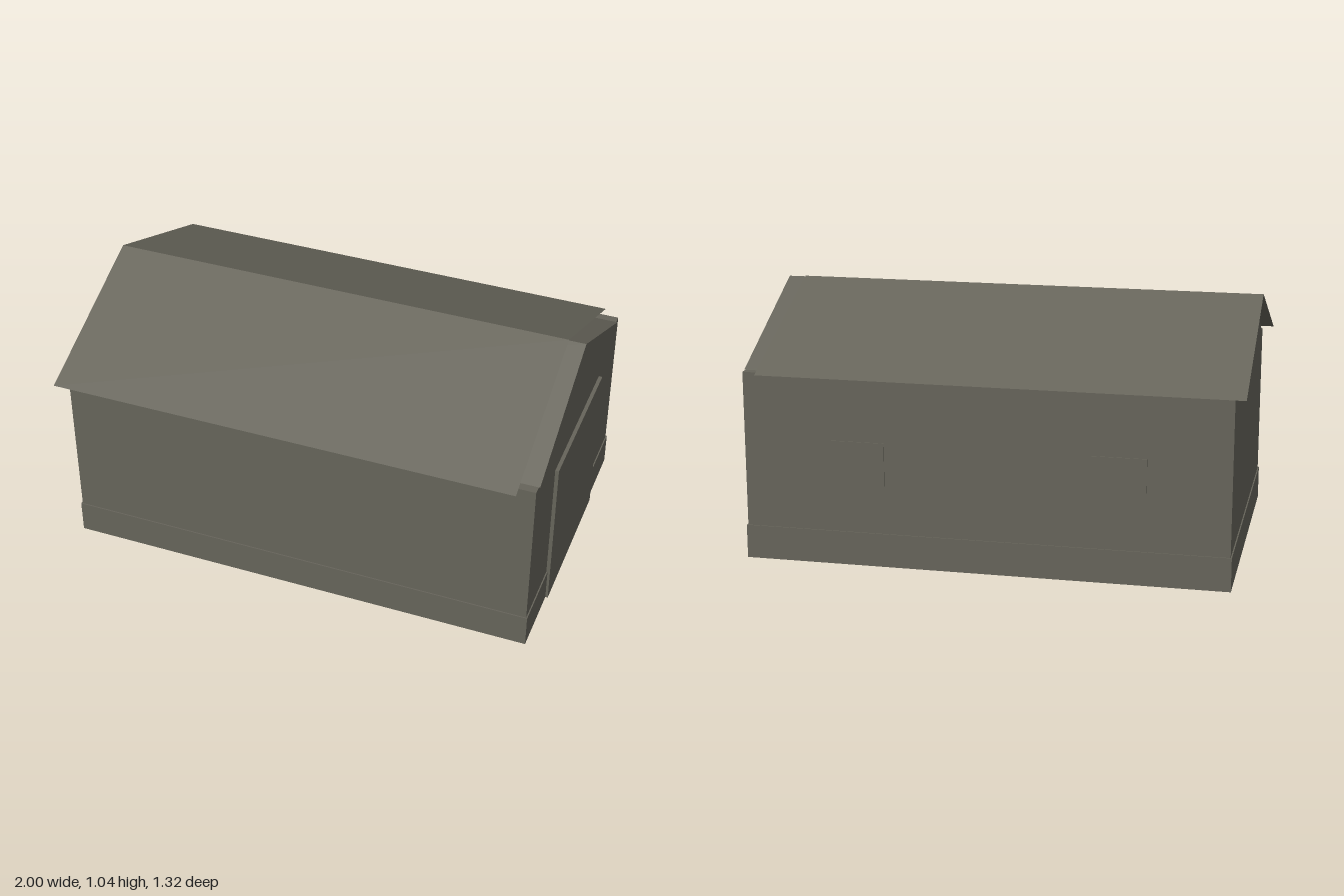
import * as THREE from 'three';

export function createModel() {
  const group = new THREE.Group();
  const stone = new THREE.MeshStandardMaterial({ color: 0x66645a, side: THREE.DoubleSide });
  stone.name = 'weathered grey';

  const add = (name, geometry) => {
    const mesh = new THREE.Mesh(geometry, stone);
    mesh.name = name;
    group.add(mesh);
    return mesh;
  };
  // Box given by its minimum and maximum corners
  const box = (name, [x0, y0, z0], [x1, y1, z1]) =>
    add(name, new THREE.BoxGeometry(x1 - x0, y1 - y0, z1 - z0))
      .position.set((x0 + x1) / 2, (y0 + y1) / 2, (z0 + z1) / 2);

  // Flat sheet from four corners
  const sheet = (name, a, b, c, d) => {
    const g = new THREE.BufferGeometry();
    g.setAttribute('position', new THREE.Float32BufferAttribute([a, b, c, a, c, d].flat(), 3));
    g.computeVertexNormals();
    return add(name, g);
  };

  // Walls, with the floor raised above the ground
  box('walls', [-0.955, 0.135, -0.615], [0.985, 0.77, 0.615]);

  // Plinth: a hollow skirt, open below
  const corners = [[-0.96, 0.62], [0.99, 0.62], [0.99, -0.62], [-0.96, -0.62]];
  corners.forEach(([x0, z0], i) => {
    const [x1, z1] = corners[(i + 1) % 4];
    sheet('plinth', [x0, 0, z0], [x1, 0, z1], [x1, 0.137, z1], [x0, 0.137, z0]);
  });
  // Narrow ledge on top of the plinth
  const ledge = new THREE.Shape([
    new THREE.Vector2(-0.96, -0.62), new THREE.Vector2(0.99, -0.62),
    new THREE.Vector2(0.99, 0.62), new THREE.Vector2(-0.96, 0.62)]);
  ledge.holes.push(new THREE.Path([
    new THREE.Vector2(-0.955, -0.615), new THREE.Vector2(-0.955, 0.615),
    new THREE.Vector2(0.985, 0.615), new THREE.Vector2(0.985, -0.615)]));
  add('plinthLedge', new THREE.ShapeGeometry(ledge).rotateX(-Math.PI / 2)).position.y = 0.137;

  // Gable prism above the walls
  const gable = new THREE.Shape([
    new THREE.Vector2(-0.58, 0.77), new THREE.Vector2(0.58, 0.77), new THREE.Vector2(0, 1.04)]);
  add('gable', new THREE.ExtrudeGeometry(gable, { depth: 1.945, bevelEnabled: false })
    .rotateY(Math.PI / 2)).position.x = -0.955;

  // Thin roof slopes, shallower than the gable and overhanging the eaves
  sheet('frontRoofSlope', [-1, 0.77, 0.66], [0.92, 0.77, 0.66], [0.92, 1.043, 0], [-1, 1.043, 0]);
  sheet('backRoofSlope', [0.92, 0.77, -0.66], [-1, 0.77, -0.66], [-1, 1.043, 0], [0.92, 1.043, 0]);

  // Large door on the gable end
  box('door', [0.98, 0, -0.33], [1, 0.66, 0.33]);

  // Two windows in the back wall
  for (const x of [-0.52, 0.52])
    box('window', [x - 0.108, 0.33, -0.619], [x + 0.108, 0.51, -0.613]);

  return group;
}
